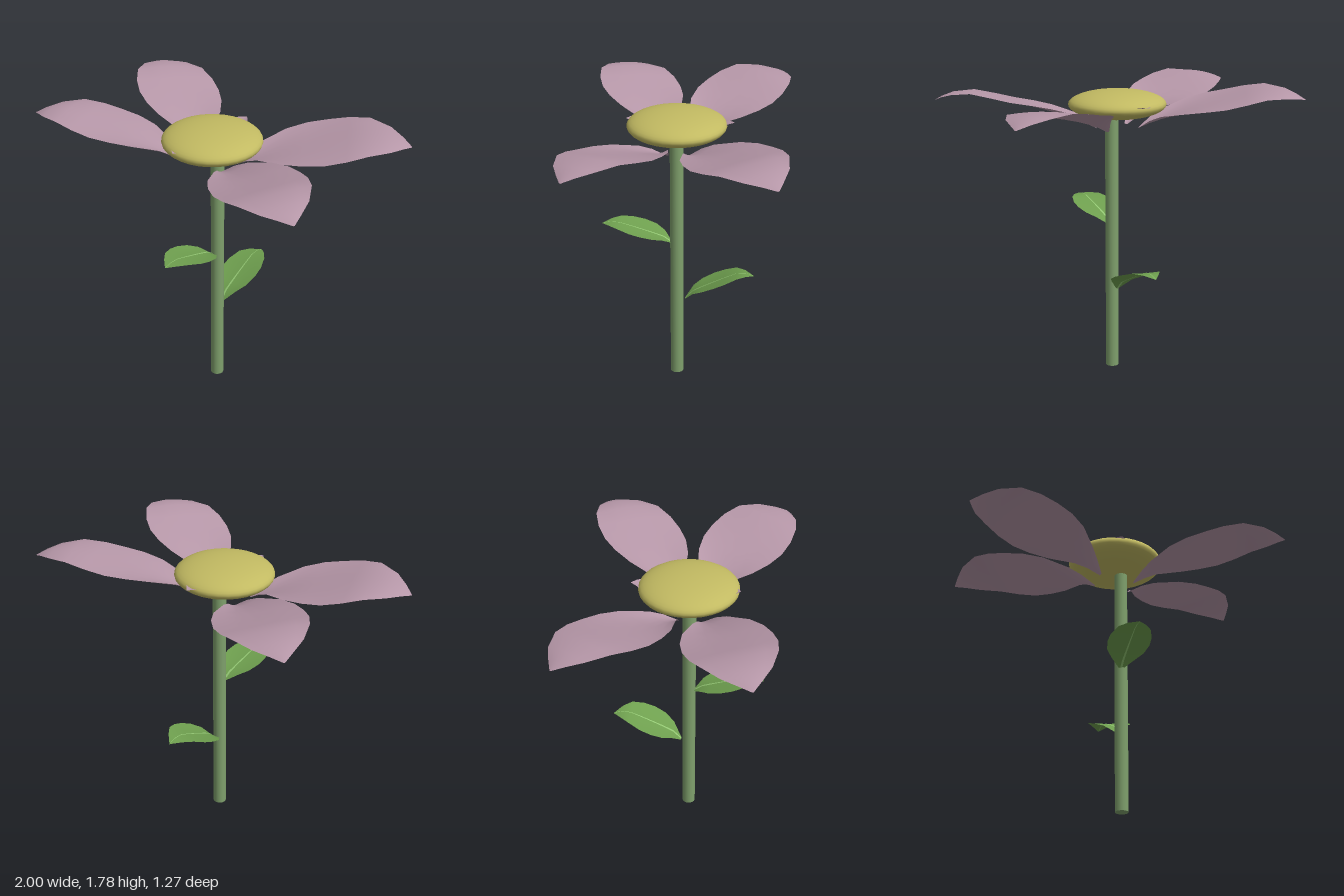
import * as THREE from 'three';

const material = (color) => new THREE.MeshStandardMaterial({ color, side: THREE.DoubleSide });

// A pointed blade from base to tip. Stations are [t, halfWidth, height, edgeLift];
// roll lowers one long edge and raises the other.
function blade(name, base, tip, stations, mat, roll = 0) {
  const axis = new THREE.Vector2(tip[0] - base[0], tip[1] - base[1]);
  const side = new THREE.Vector2(-axis.y, axis.x).normalize();
  const columns = 6;
  const positions = [];
  const index = [];
  stations.forEach(([t, w, y, lift], i) => {
    for (let j = 0; j <= columns; j++) {
      const u = (j / columns) * 2 - 1;
      positions.push(
        base[0] + axis.x * t + side.x * w * u,
        y + lift * u * u - roll * w * u,
        base[1] + axis.y * t + side.y * w * u
      );
      if (i < stations.length - 1 && j < columns) {
        const a = i * (columns + 1) + j;
        const b = a + columns + 1;
        index.push(a, a + 1, b, a + 1, b + 1, b);
      }
    }
  });
  const geometry = new THREE.BufferGeometry();
  geometry.setAttribute('position', new THREE.Float32BufferAttribute(positions, 3));
  geometry.setIndex(index);
  geometry.computeVertexNormals();
  const mesh = new THREE.Mesh(geometry, mat);
  mesh.name = name;
  return mesh;
}

export function createModel() {
  const flower = new THREE.Group();
  flower.name = 'flower';
  const pink = material(0xb697a8);
  const yellow = material(0xc2ba62);
  const stemGreen = material(0x7fa06c);
  const leafGreen = material(0x6fa04f);
  const veinGreen = material(0x94c874);

  // Stem
  const stem = new THREE.Mesh(new THREE.CylinderGeometry(0.041, 0.041, 1.62, 16), stemGreen);
  stem.name = 'stem';
  stem.position.set(0.06, 0.81, 0.029);
  flower.add(stem);

  // Flower centre
  const centre = new THREE.Mesh(new THREE.SphereGeometry(0.298, 32, 20), yellow);
  centre.name = 'flowerCentre';
  centre.scale.y = 0.286;
  centre.position.set(0.02, 1.68, 0.03);
  flower.add(centre);

  // Four large petals, cupped at the base and drooping at the tip
  const petalStations = [
    [0, 0.01, 1.53, 0], [0.07, 0.056, 1.562, 0.025], [0.14, 0.102, 1.59, 0.035],
    [0.28, 0.195, 1.64, 0.026], [0.4, 0.238, 1.677, 0.013], [0.52, 0.254, 1.709, 0],
    [0.64, 0.245, 1.744, -0.008], [0.76, 0.21, 1.773, -0.014], [0.88, 0.139, 1.763, -0.014],
    [0.95, 0.065, 1.738, -0.007], [1, 0.004, 1.71, 0]
  ];
  const petals = [
    ['frontLeftPetal', [0.13, 0.08], [0.985, 0.56]],
    ['frontRightPetal', [-0.1, 0.125], [-1, 0.46]],
    ['backRightPetal', [-0.1, -0.02], [-0.925, -0.6]],
    ['backLeftPetal', [0.13, -0.04], [1, -0.57]]
  ];
  for (const [name, base, tip] of petals) {
    flower.add(blade(name, base, tip, petalStations, pink, 0.095));
  }

  // Small petal tips peeking out at the front and back of the centre
  const budStations = [
    [0, 0.05, 1.67, 0], [0.55, 0.05, 1.69, 0.008], [0.75, 0.03, 1.697, 0.005], [1, 0.003, 1.7, 0]
  ];
  flower.add(blade('backPetalTip', [0.01, -0.19], [0.01, -0.31], budStations, pink));
  flower.add(blade('frontPetalTip', [-0.02, 0.24], [-0.02, 0.335], budStations, pink));

  // Two stem leaves, each with a pale midrib strip above and below
  const leafShape = [
    [0, 0.012, 0, 0], [0.12, 0.075, 0.29, 0.01], [0.25, 0.116, 0.45, 0.013],
    [0.42, 0.132, 0.64, 0.011], [0.58, 0.127, 0.81, 0.007], [0.75, 0.1, 0.98, 0.003],
    [0.88, 0.057, 1, 0], [1, 0.003, 0.92, 0]
  ];
  const leaves = [
    ['upperLeaf', [0.05, 0.06], [0.04, 0.49], 0.92, 0.12, 0],
    ['lowerLeaf', [0.05, -0.02], [0.045, -0.45], 0.525, 0.19, -0.1]
  ];
  for (const [name, base, tip, y, rise, roll] of leaves) {
    const leaf = new THREE.Group();
    leaf.name = name;
    const stations = leafShape.map(([t, w, h, lift]) => [t, w, y + h * rise, lift]);
    leaf.add(blade(name + 'Blade', base, tip, stations, leafGreen, roll));
    for (const offset of [-0.003, 0.003]) {
      const strip = stations.map(([t, , h]) => [t, 0.006 * (1 - t) + 0.001, h + offset, 0]);
      leaf.add(blade(name + 'Midrib', base, tip, strip, veinGreen, roll));
    }
    flower.add(leaf);
  }
  return flower;
}
